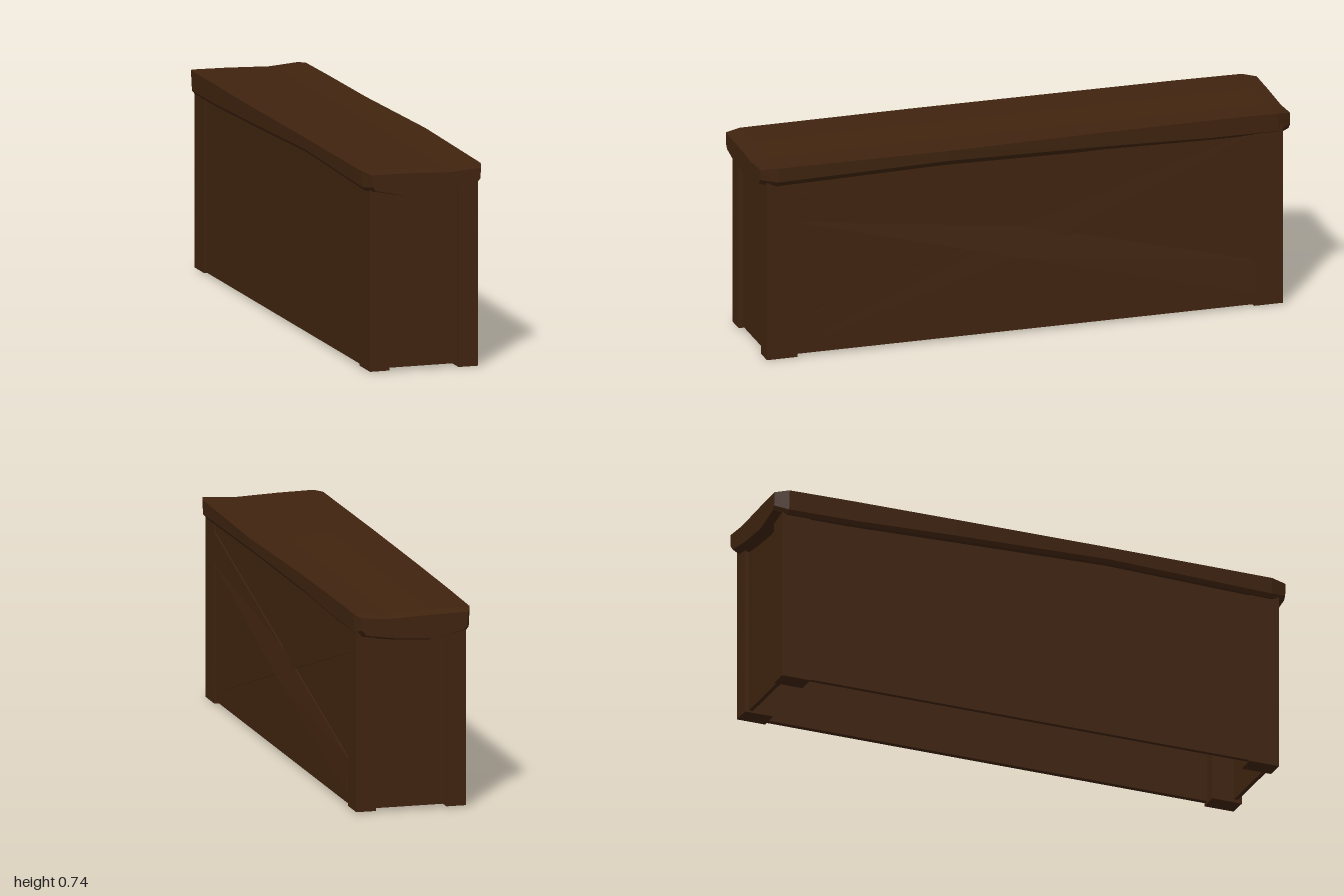
import * as THREE from 'three';

const wood = new THREE.MeshStandardMaterial({ color: 0x40240f, flatShading: true });
wood.name = 'dark brown wood';

function add(group, name, geometry) {
  const mesh = new THREE.Mesh(geometry, wood);
  mesh.name = name;
  group.add(mesh);
  return mesh;
}

// Box given by its minimum and maximum corners
function block(x0, x1, y0, y1, z0, z1, segments = 1) {
  return new THREE.BoxGeometry(x1 - x0, y1 - y0, z1 - z0, segments, 1, segments)
    .translate((x0 + x1) / 2, (y0 + y1) / 2, (z0 + z1) / 2);
}

// Diagonal board on the +x side: top and bottom heights at each end,
// with its lower edge standing out by `bulge` at mid length
function brace(zEnd, backY, frontY, x, bulge, endBulge) {
  const g = new THREE.BoxGeometry(1, 1, 1, 1, 1, 2);
  const p = g.attributes.position;
  for (let i = 0; i < p.count; i++) {
    const t = p.getZ(i) + 0.5, s = p.getY(i) + 0.5;
    const low = THREE.MathUtils.lerp(backY[0], frontY[0], t);
    const high = THREE.MathUtils.lerp(backY[1], frontY[1], t);
    const out = (1 - s) * (t === 0.5 ? bulge : t === 0 ? endBulge : 0);
    p.setXYZ(i, p.getX(i) > 0 ? x + out : 0.18,
      THREE.MathUtils.lerp(low, high, s), THREE.MathUtils.lerp(-zEnd, zEnd, t));
  }
  return g;
}

// Worn lid lofted through cross-sections: [z, left, right, underside, top]
function lidGeometry() {
  const stations = [
    [-1, -0.21, 0.19, 0.66, 0.725],
    [-0.95, -0.23, 0.205, 0.645, 0.733],
    [-0.7, -0.232, 0.207, 0.647, 0.735],
    [-0.3, -0.235, 0.211, 0.66, 0.735],
    [0.3, -0.233, 0.232, 0.678, 0.737],
    [0.94, -0.23, 0.222, 0.662, 0.736],
    [1, -0.212, 0.203, 0.672, 0.731],
  ];
  const rings = stations.map(([z, l, r, b, t]) => [
    [l + 0.015, b], [-0.08, b - 0.025], [0.05, b - 0.018], [r - 0.02, b],
    [r - 0.003, b + 0.02], [r, t], [0.085, t - 0.008], [-0.08, t - 0.002],
    [l, t], [l + 0.004, b + 0.014],
  ].map(([x, y]) => [x, y, z]));
  const n = rings[0].length, index = [];
  for (let k = 0; k < rings.length - 1; k++) {
    for (let i = 0; i < n; i++) {
      const j = (i + 1) % n;
      const a = k * n + i, b = k * n + j, c = b + n, d = a + n;
      index.push(a, b, c, a, c, d);
    }
  }
  // End caps
  const last = (rings.length - 1) * n;
  const outline = rings[0].map(([x, y]) => new THREE.Vector2(x, y));
  for (const [a, b, c] of THREE.ShapeUtils.triangulateShape(outline, [])) {
    index.push(a, c, b, last + a, last + b, last + c);
  }
  const g = new THREE.BufferGeometry();
  g.setAttribute('position', new THREE.Float32BufferAttribute(rings.flat(2), 3));
  g.setIndex(index);
  const flat = g.toNonIndexed();
  flat.computeVertexNormals();
  return flat;
}

export function createModel() {
  const model = new THREE.Group();
  model.name = 'woodenChest';

  // Corner posts
  for (const [end, z0, z1] of [['Front', 0.86, 0.975], ['Back', -0.97, -0.86]]) {
    add(model, 'right' + end + 'Post', block(-0.21, -0.137, 0.005, 0.69, z0, z1));
    add(model, 'left' + end + 'Post', block(0.126, 0.2, end === 'Front' ? 0 : 0.005, 0.69, z0, z1));
  }

  // Wall panels, open underneath
  add(model, 'rightPanel', block(-0.206, -0.19, 0.01, 0.69, -0.9, 0.9));
  add(model, 'leftPanel', block(0.175, 0.195, 0.01, 0.69, -0.9, 0.9));
  add(model, 'frontPanel', block(-0.18, 0.17, 0.012, 0.67, 0.945, 0.96));
  add(model, 'backPanel', block(-0.18, 0.17, 0.012, 0.67, -0.955, -0.94));

  // Crossed braces on the left side
  add(model, 'mainBrace', brace(0.865, [0.055, 0.178], [0.515, 0.632], 0.199, 0.014, 0.008));
  add(model, 'crossBrace', brace(0.865, [0.57, 0.67], [0.04, 0.14], 0.197, 0.004, 0.002));

  // Lid
  add(model, 'lid', lidGeometry());
  return model;
}
